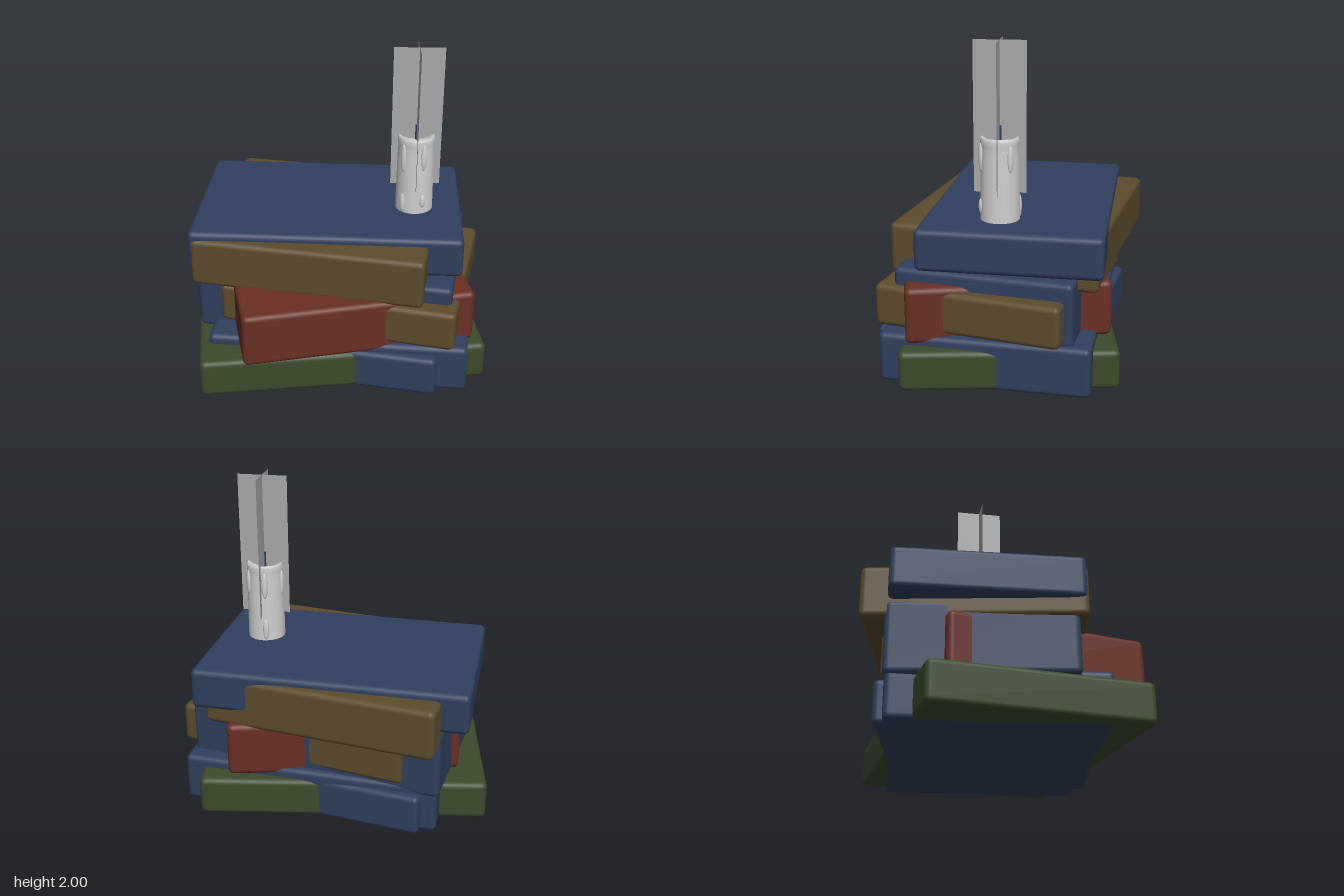
import * as THREE from 'three';
import { RoundedBoxGeometry } from 'three/addons/geometries/RoundedBoxGeometry.js';

const mat = (name, color, extra = {}) => {
  const m = new THREE.MeshStandardMaterial({ color, ...extra });
  m.name = name;
  return m;
};

export function createModel() {
  const model = new THREE.Group();
  model.name = 'candleOnBooks';

  const blue = mat('blue cover', 0x30405f);
  const brown = mat('brown cover', 0x5d4c2d);
  const green = mat('green cover', 0x3c4b2c);
  const red = mat('red cover', 0x692f25);
  const wax = mat('wax', 0xcfcfcf);
  const glow = mat('flame card', 0xa8a8a8, { side: THREE.DoubleSide });

  const add = (parent, name, geometry, material, x = 0, y = 0, z = 0) => {
    const mesh = new THREE.Mesh(geometry, material);
    mesh.name = name;
    mesh.position.set(x, y, z);
    parent.add(mesh);
    return mesh;
  };

  // Books: name, colour, width, depth, bottom, top, x, z, turn in degrees
  const books = [
    ['bottomGreenBook', green, 1.78, 1.29, 0.004, 0.25, -0.01, 0.03, 7.6],
    ['bottomBlueBook', blue, 1.45, 1.25, 0, 0.26, 0.026, 0.004, -10.5],
    ['lowerBlueBook', blue, 1.61, 1.26, 0, 0.31, 0.073, 0.005, -4.7],
    ['redBook', red, 1.44, 1.22, 0.265, 0.61, 0.04, 0.08, 12.5],
    ['middleBrownBook', brown, 1.48, 1.14, 0.32, 0.58, 0.135, 0.015, -12.8],
    ['middleBlueBook', blue, 1.6, 1.08, 0.25, 0.685, 0.015, -0.043, -9.2],
    ['upperBrownBook', brown, 1.45, 1.28, 0.585, 0.9, -0.058, -0.085, -10.6],
    ['topBlueBook', blue, 1.69, 1.1, 0.69, 0.945, -0.03, -0.107, -2.7],
  ];
  for (const [name, material, w, d, y0, y1, x, z, turn] of books) {
    const book = add(model, name, new RoundedBoxGeometry(w, y1 - y0, d, 3, 0.035),
      material, x, (y0 + y1) / 2, z);
    book.rotation.y = THREE.MathUtils.degToRad(turn);
  }

  // Candle body with a soft rim and a dished top
  const candle = new THREE.Group();
  candle.name = 'candle';
  candle.position.set(0.508, 0.945, 0.008);
  model.add(candle);
  const profile = [
    [0.118, 0], [0.118, 0.06], [0.116, 0.2], [0.114, 0.36], [0.11, 0.43],
    [0.114, 0.45], [0.115, 0.48], [0.111, 0.495], [0.104, 0.499],
    [0.094, 0.492], [0.075, 0.478], [0.04, 0.468], [0, 0.465],
  ].map(([r, y]) => new THREE.Vector2(r, y));
  add(candle, 'candleBody', new THREE.LatheGeometry(profile, 32), wax);
  add(candle, 'wick', new THREE.CylinderGeometry(0.009, 0.009, 0.1, 8), blue, 0, 0.512, 0);

  // Wax drips: offset x, offset z, centre height, half height
  const drips = [
    [-0.08, 0.084, 0.37, 0.095], [0.045, 0.107, 0.38, 0.085],
    [-0.08, 0.086, 0.065, 0.065], [0.045, 0.109, 0.085, 0.045],
    [-0.022, -0.114, 0.37, 0.085], [0.09, -0.072, 0.38, 0.08],
    [-0.022, -0.114, 0.075, 0.07], [-0.112, -0.025, 0.37, 0.085],
  ];
  for (const [x, z, y, h] of drips) {
    const drip = add(candle, 'waxDrip', new THREE.SphereGeometry(1, 12, 10), wax, x, y, z);
    drip.scale.set(0.019, h, 0.013);
    drip.rotation.y = Math.atan2(x, z);
  }

  // Two crossed flame cards
  for (const turn of [0, Math.PI / 2]) {
    const card = add(candle, 'flameCard', new THREE.PlaneGeometry(0.31, 0.895), glow, 0, 0.6075, 0);
    card.rotation.y = turn;
  }
  return model;
}
